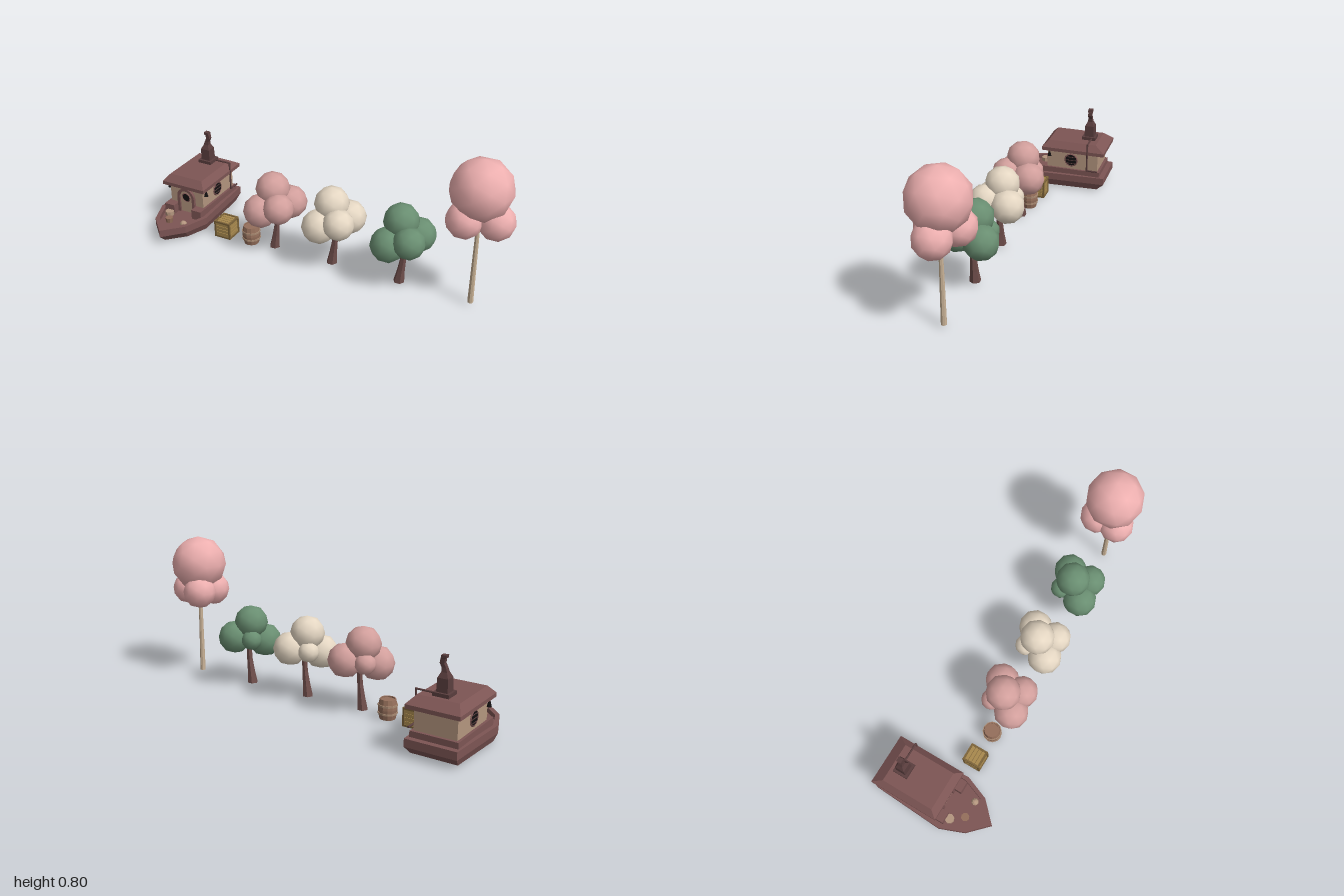
import * as THREE from 'three';

const mat = (color, flat = true) => new THREE.MeshStandardMaterial({ color, flatShading: flat });
const wood = mat(0x7d5554), plaster = mat(0xb4967f), dark = mat(0x141112), metal = mat(0x5a3e3e);
const barrelWood = mat(0x956f5b), hoop = mat(0xa98a72), gold = mat(0xa8894e), goldDark = mat(0x7c6339);

function add(parent, name, geo, material, x = 0, y = 0, z = 0) {
  const m = new THREE.Mesh(geo, material);
  m.name = name;
  m.position.set(x, y, z);
  parent.add(m);
  return m;
}
const box = (p, name, m, w, h, d, x, y, z) => add(p, name, new THREE.BoxGeometry(w, h, d), m, x, y, z);

// Round bar between two points
function rod(parent, name, a, b, r, material) {
  const A = new THREE.Vector3(...a), B = new THREE.Vector3(...b), d = B.clone().sub(A);
  const m = add(parent, name, new THREE.CylinderGeometry(r, r, d.length(), 8), material);
  m.position.copy(A).add(B).multiplyScalar(0.5);
  m.quaternion.setFromUnitVectors(new THREE.Vector3(0, 1, 0), d.normalize());
}

// Closed skin over rings of [x, y, z], each running anticlockwise seen from above
function loft(rings) {
  const n = rings[0].length, pos = rings.flat(2), idx = [];
  for (let k = 0; k < rings.length - 1; k++) {
    for (let i = 0; i < n; i++) {
      const a = k * n + i, b = k * n + (i + 1) % n;
      idx.push(a, b, b + n, a, b + n, a + n);
    }
  }
  const last = (rings.length - 1) * n;
  for (let i = 1; i < n - 1; i++) {
    idx.push(0, i + 1, i, last, last + i, last + i + 1);
  }
  const g = new THREE.BufferGeometry();
  g.setAttribute('position', new THREE.Float32BufferAttribute(pos, 3));
  g.setIndex(idx);
  const flat = g.toNonIndexed();
  flat.computeVertexNormals();
  return flat;
}
const rect = (y, hx, z0, z1, dx = 0) => [[dx + hx, y, z1], [dx + hx, y, z0], [dx - hx, y, z0], [dx - hx, y, z1]];

function archShape(half, bottom, spring, Kind = THREE.Shape) {
  const s = new Kind();
  s.moveTo(-half, bottom);
  s.lineTo(half, bottom);
  s.lineTo(half, spring);
  s.absarc(0, spring, half, 0, Math.PI, false);
  s.closePath();
  return s;
}

function makeBoat() {
  const g = new THREE.Group();
  g.name = 'houseboat';

  // Hull with raised rim and sunken deck
  const plan = [[0, 0.31], [0.1, 0.21], [0.15, 0.08], [0.13, -0.31], [-0.13, -0.31], [-0.15, 0.08], [-0.1, 0.21]];
  const level = (y, sx, sz) => plan.map(([x, z]) => [x * sx, y, z * sz]);
  add(g, 'hull', loft([level(0.01, 0.9, 0.87), level(0.05, 1, 1), level(0.09, 1, 1), level(0.09, 0.86, 0.9), level(0.065, 0.86, 0.9)]), wood);

  // Cabin base, notched in front of the door
  box(g, 'cabinBase', wood, 0.24, 0.06, 0.32, 0, 0.09, -0.12);
  for (const s of [-1, 1]) box(g, 'cabinBaseFront', wood, 0.062, 0.06, 0.05, s * 0.089, 0.09, 0.065);
  box(g, 'cabin', plaster, 0.214, 0.12, 0.305, 0, 0.175, -0.1125);

  // Door with arched frame and porthole
  const frame = archShape(0.056, 0.07, 0.166);
  frame.holes.push(archShape(0.04, 0.07, 0.166, THREE.Path));
  add(g, 'doorFrame', new THREE.ExtrudeGeometry(frame, { depth: 0.02, bevelEnabled: false, curveSegments: 8 }), wood, 0, 0, 0.035);
  add(g, 'door', new THREE.ExtrudeGeometry(archShape(0.041, 0.07, 0.166), { depth: 0.01, bevelEnabled: false, curveSegments: 8 }), plaster, 0, 0, 0.035);
  add(g, 'doorWindow', new THREE.CylinderGeometry(0.023, 0.023, 0.006, 12), dark, 0, 0.165, 0.046).rotation.x = Math.PI / 2;
  add(g, 'doorWindowRim', new THREE.TorusGeometry(0.025, 0.004, 4, 12), wood, 0, 0.165, 0.048);

  // Round side windows and lanterns
  for (const s of [-1, 1]) {
    const w = new THREE.Group();
    w.name = 'sideWindow';
    w.position.set(s * 0.108, 0.175, -0.105);
    w.rotation.y = s * Math.PI / 2;
    g.add(w);
    add(w, 'windowGlass', new THREE.CylinderGeometry(0.034, 0.034, 0.006, 12), dark).rotation.x = Math.PI / 2;
    add(w, 'windowRim', new THREE.TorusGeometry(0.037, 0.005, 4, 12), wood);
    for (const y of [-0.02, 0, 0.02]) box(w, 'windowBar', metal, y ? 0.054 : 0.068, 0.003, 0.003, 0, y, 0.004);
    add(g, 'lantern', new THREE.CylinderGeometry(0.005, 0.012, 0.025, 6), dark, s * 0.122, 0.205, 0.025);
    rod(g, 'lanternHook', [s * 0.122, 0.215, 0.025], [s * 0.122, 0.235, 0.025], 0.002, dark);
  }

  // Hipped roof
  add(g, 'roof', loft([rect(0.23, 0.135, -0.305, 0.07), rect(0.25, 0.135, -0.305, 0.07), rect(0.287, 0.103, -0.25, 0.035)]), wood);

  // Chimney with a crooked flue: height, half width, sideways shift
  const stack = [[0.28, 0.04, 0], [0.305, 0.04, 0], [0.305, 0.028, 0], [0.37, 0.026, 0], [0.395, 0.014, 0],
    [0.415, 0.011, 0.004], [0.435, 0.011, 0.014], [0.455, 0.011, 0.011], [0.458, 0.013, 0.007], [0.472, 0.013, 0.005]];
  add(g, 'chimney', loft(stack.map(([y, h, dx]) => rect(y, h, -0.19 - h, -0.19 + h, dx))), metal);

  // Drain pipe from the chimney over the roof and down the side
  const pipe = [[0.03, 0.295, -0.207], [0.132, 0.295, -0.207], [0.132, 0.13, -0.207], [0.132, 0.13, -0.27]];
  for (let i = 0; i < 3; i++) rod(g, 'drainPipe', pipe[i], pipe[i + 1], 0.005, metal);
  for (const p of pipe.slice(1, 3)) add(g, 'pipeElbow', new THREE.SphereGeometry(0.0055, 8, 6), metal, ...p);

  // Pots and a stool on the foredeck
  add(g, 'stool', new THREE.CylinderGeometry(0.025, 0.025, 0.025, 8), plaster, -0.08, 0.076, 0.105);
  add(g, 'pot', new THREE.CylinderGeometry(0.022, 0.018, 0.03, 8), barrelWood, -0.034, 0.078, 0.172);
  add(g, 'pot', new THREE.SphereGeometry(0.02, 8, 6), plaster, 0.06, 0.075, 0.172);
  return g;
}

function makeCrate() {
  const g = new THREE.Group();
  g.name = 'crate';
  const h = 0.044;
  box(g, 'crateCore', goldDark, 0.082, 0.082, 0.082, 0, 0.05, 0);
  // Edge frame along all three axes
  for (const a of [-h, h]) for (const b of [-h, h]) {
    box(g, 'crateEdge', goldDark, 0.01, 0.098, 0.01, a, 0.05, b);
    box(g, 'crateEdge', goldDark, 0.098, 0.01, 0.01, 0, 0.05 + a, b);
    box(g, 'crateEdge', goldDark, 0.01, 0.01, 0.098, a, 0.05 + b, 0);
  }
  // Slats on every face
  for (let i = 0; i < 4; i++) {
    const t = -0.03 + i * 0.02;
    box(g, 'crateSlats', gold, 0.09, 0.017, 0.078, 0, 0.05 + t, 0);
    box(g, 'crateSlats', gold, 0.078, 0.017, 0.09, 0, 0.05 + t, 0);
    box(g, 'crateSlats', gold, 0.078, 0.09, 0.017, 0, 0.05, t);
  }
  return g;
}

function makeBarrel() {
  const g = new THREE.Group();
  g.name = 'barrel';
  const profile = [[0, 0], [0.041, 0], [0.047, 0.03], [0.049, 0.0525], [0.047, 0.075], [0.041, 0.105], [0.036, 0.105], [0.036, 0.098], [0, 0.098]];
  add(g, 'barrelBody', new THREE.LatheGeometry(profile.map(p => new THREE.Vector2(...p)), 12), barrelWood);
  for (const y of [0.032, 0.073]) add(g, 'barrelHoop', new THREE.CylinderGeometry(0.0505, 0.0505, 0.01, 12), hoop, 0, y, 0);
  return g;
}

// Round leaf clumps given as [x, y, z, radius]
function leaves(g, clumps, material) {
  for (const [x, y, z, r] of clumps) add(g, 'leafClump', new THREE.IcosahedronGeometry(r, 1), material, x, y, z);
}

function makeTree(color) {
  const g = new THREE.Group();
  g.name = 'tree';
  // Bent trunk: height, radius, sideways shift
  const trunk = [[0.015, 0.029, 0], [0.08, 0.021, 0.008], [0.15, 0.016, 0.017], [0.28, 0.014, 0.022]];
  const ring = ([y, r, dx]) => Array.from({ length: 6 }, (_, i) => {
    const a = i * Math.PI / 3;
    return [dx + r * Math.cos(a), y, 0.055 - r * Math.sin(a)];
  });
  add(g, 'trunk', loft(trunk.map(ring)), mat(0x6f4e4b));
  leaves(g, [[-0.005, 0.366, 0.047, 0.092], [0.07, 0.28, -0.005, 0.09], [0.065, 0.295, 0.117, 0.083],
    [-0.045, 0.256, 0.115, 0.092], [-0.045, 0.28, 0, 0.056]], mat(color, false));
  return g;
}

function makeTallTree() {
  const g = new THREE.Group();
  g.name = 'tallTree';
  add(g, 'trunk', new THREE.CylinderGeometry(0.009, 0.015, 0.52, 8), mat(0xc9b296), 0, 0.275, 0.06);
  leaves(g, [[0, 0.645, 0.06, 0.153], [0.083, 0.495, 0.06, 0.092], [-0.053, 0.498, 0.113, 0.092], [-0.053, 0.498, 0, 0.092]], mat(0xeeb0b0, false));
  return g;
}

export function createModel() {
  const model = new THREE.Group();
  model.name = 'riversideSet';
  const place = (obj, x, z = 0) => {
    obj.position.set(x, 0, z);
    model.add(obj);
  };
  place(makeBoat(), -0.85);
  place(makeCrate(), -0.587, 0.05);
  place(makeBarrel(), -0.425, 0.055);
  place(makeTree(0xd3a09d), -0.277);
  place(makeTree(0xe6d8c4), 0.067);
  place(makeTree(0x6a8f72), 0.446);
  place(makeTallTree(), 0.825);
  return model;
}
